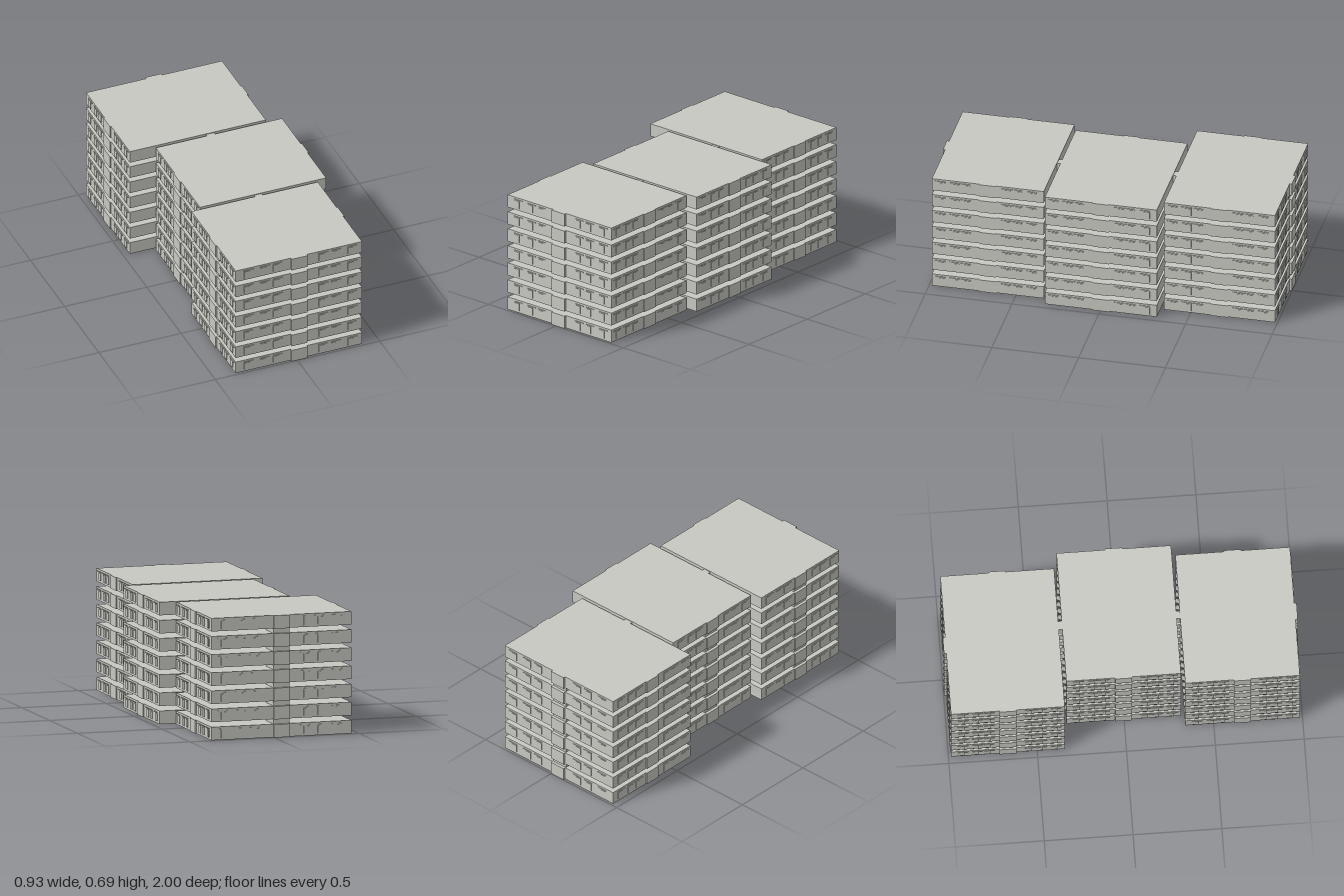
import * as THREE from 'three';

const FLOORS = 7, PITCH = 0.103, SLAB_H = 0.075, BASE = 0.005;

// Three staggered wings: extents, bay centre on the end walls, stair core extents
const WINGS = [
  { name: 'frontWing', x: [-0.37, 0.398], z: [0.34, 0.985], core: [-0.36, -0.23, 0.62, 0.72] },
  { name: 'middleWing', x: [-0.31, 0.457], z: [-0.325, 0.32], core: [-0.3, -0.17, -0.05, 0.05] },
  { name: 'backWing', x: [-0.46, 0.367], z: [-0.985, -0.345], core: [-0.095, 0, -0.98, -0.85] },
];

export function createModel() {
  const concrete = new THREE.MeshStandardMaterial({ color: 0xc8c8c2 });
  concrete.name = 'concrete grey';
  const model = new THREE.Group();
  model.name = 'apartmentBlock';

  // Box given by its limits on each axis
  function box(parent, name, x0, x1, y0, y1, z0, z1) {
    const mesh = new THREE.Mesh(new THREE.BoxGeometry(x1 - x0, y1 - y0, z1 - z0), concrete);
    mesh.position.set((x0 + x1) / 2, (y0 + y1) / 2, (z0 + z1) / 2);
    mesh.name = name;
    parent.add(mesh);
  }

  // Plate standing out from a wall; axis is the wall normal, dir its sign
  function plate(parent, name, axis, dir, wall, centre, width, y0, y1, depth) {
    const a = wall + (dir > 0 ? -0.002 : -depth), b = wall + (dir > 0 ? depth : 0.002);
    const c = centre - width / 2, d = centre + width / 2;
    if (axis === 'x') box(parent, name, a, b, y0, y1, c, d);
    else box(parent, name, c, d, y0, y1, a, b);
  }

  // Slim windows with small hoods, laid out on both sides of the middle of a wall
  function windows(parent, axis, dir, wall, centre, half, y) {
    for (const side of [-1, 1]) {
      for (const t of [0.36, 0.56, 0.82]) {
        const c = centre + side * t * half;
        plate(parent, 'window', axis, dir, wall, c, 0.035, y + 0.012, y + 0.056, 0.003);
        plate(parent, 'windowHood', axis, dir, wall, c + 0.01, 0.06, y + 0.06, y + 0.064, 0.004);
      }
    }
  }

  for (const { name, x, z, core } of WINGS) {
    const wing = new THREE.Group();
    wing.name = name;
    model.add(wing);
    const cx = (x[0] + x[1]) / 2, cz = (z[0] + z[1]) / 2;

    for (let i = 0; i < FLOORS; i++) {
      const y = BASE + i * PITCH, top = y + SLAB_H;
      const storey = new THREE.Group();
      storey.name = 'storey' + (i + 1);
      wing.add(storey);
      box(storey, 'storeyBody', x[0], x[1], y, top, z[0], z[1]);

      // Side walls
      for (const dir of [-1, 1]) {
        const wall = dir > 0 ? x[1] : x[0];
        plate(storey, 'sideBay', 'x', dir, wall, cz, 0.095, y, top, 0.007);
        windows(storey, 'x', dir, wall, cz, (z[1] - z[0]) / 2, y);
      }
      // Outer end walls
      if (name === 'frontWing') {
        plate(storey, 'endBay', 'z', 1, z[1], cx, 0.097, y, top, 0.013);
        windows(storey, 'z', 1, z[1], cx, (x[1] - x[0]) / 2, y);
      }
      if (name === 'backWing') {
        plate(storey, 'endBay', 'z', -1, z[0], cx, 0.095, y, top, 0.013);
        windows(storey, 'z', -1, z[0], cx, (x[1] - x[0]) / 2, y);
      }
      // Stair core showing in the open gap between storeys
      if (i < FLOORS - 1) {
        box(wing, 'stairCore', core[0], core[1], top, y + PITCH, core[2], core[3]);
      }
    }
  }

  // Links joining neighbouring wings at every storey
  for (let i = 0; i < FLOORS; i++) {
    const y = BASE + i * PITCH;
    box(model, 'frontLink', 0.02, 0.065, y + 0.004, y + SLAB_H - 0.004, 0.318, 0.342);
    box(model, 'backLink', 0.003, 0.052, y + 0.004, y + SLAB_H - 0.004, -0.347, -0.323);
  }
  return model;
}
